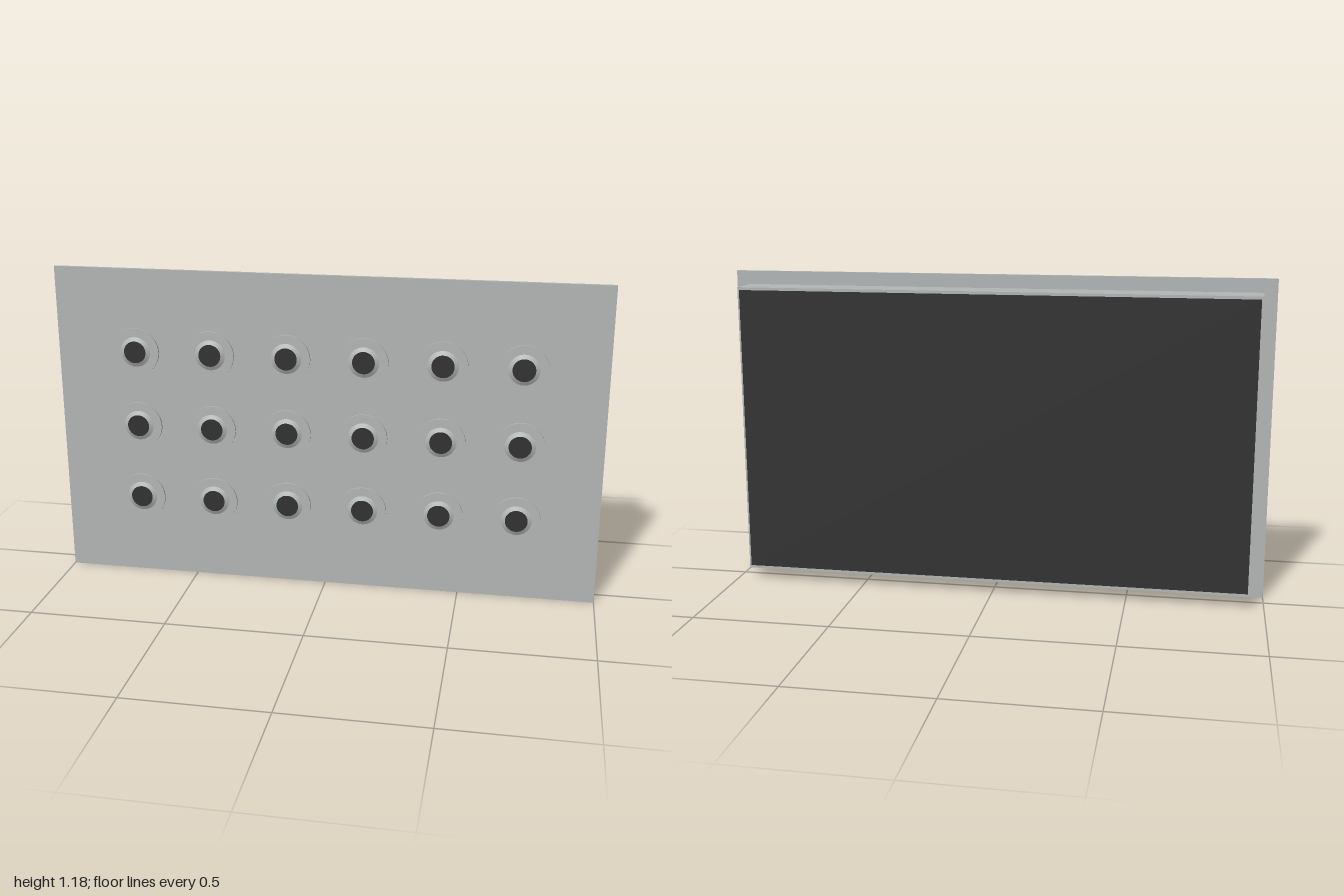
import * as THREE from 'three';

export function createModel() {
  const model = new THREE.Group();
  model.name = 'buttonPanel';
  const metal = new THREE.MeshStandardMaterial({ color: 0xb4b8b7 });
  metal.name = 'light grey metal';
  const dark = new THREE.MeshStandardMaterial({ color: 0x323232 });
  dark.name = 'charcoal';

  const add = (parent, name, geometry, material) => {
    const mesh = new THREE.Mesh(geometry, material);
    mesh.name = name;
    parent.add(mesh);
    return mesh;
  };

  // Box between two heights and two depths, centred on x
  const slab = (name, width, y0, y1, z0, z1, material) =>
    add(model, name, new THREE.BoxGeometry(width, y1 - y0, z1 - z0), material)
      .position.set(0, (y0 + y1) / 2, (z0 + z1) / 2);

  slab('facePlate', 2, 0, 1.18, 0.056, 0.069, metal);
  slab('housing', 1.9, 0.05, 1.13, -0.073, 0.056, metal);
  slab('backPanel', 1.88, 0.06, 1.12, -0.083, -0.077, dark);

  // Button parts, each turned to face +z
  const flange = new THREE.CylinderGeometry(0.088, 0.088, 0.007, 32)
    .rotateX(Math.PI / 2).translate(0, 0, 0.0725);
  const collar = new THREE.CylinderGeometry(0.041, 0.056, 0.007, 32, 1, true)
    .rotateX(Math.PI / 2).translate(0, 0, 0.0795);
  const cap = new THREE.CircleGeometry(0.041, 32).translate(0, 0, 0.083);

  // Three rows of six buttons
  for (let row = 0; row < 3; row++) {
    for (let col = 0; col < 6; col++) {
      const button = new THREE.Group();
      button.name = `button${row * 6 + col + 1}`;
      button.position.set((col - 2.5) * 0.282, 0.59 + (1 - row) * 0.283, 0);
      add(button, 'flange', flange, metal);
      add(button, 'collar', collar, metal);
      add(button, 'cap', cap, dark);
      model.add(button);
    }
  }
  return model;
}
